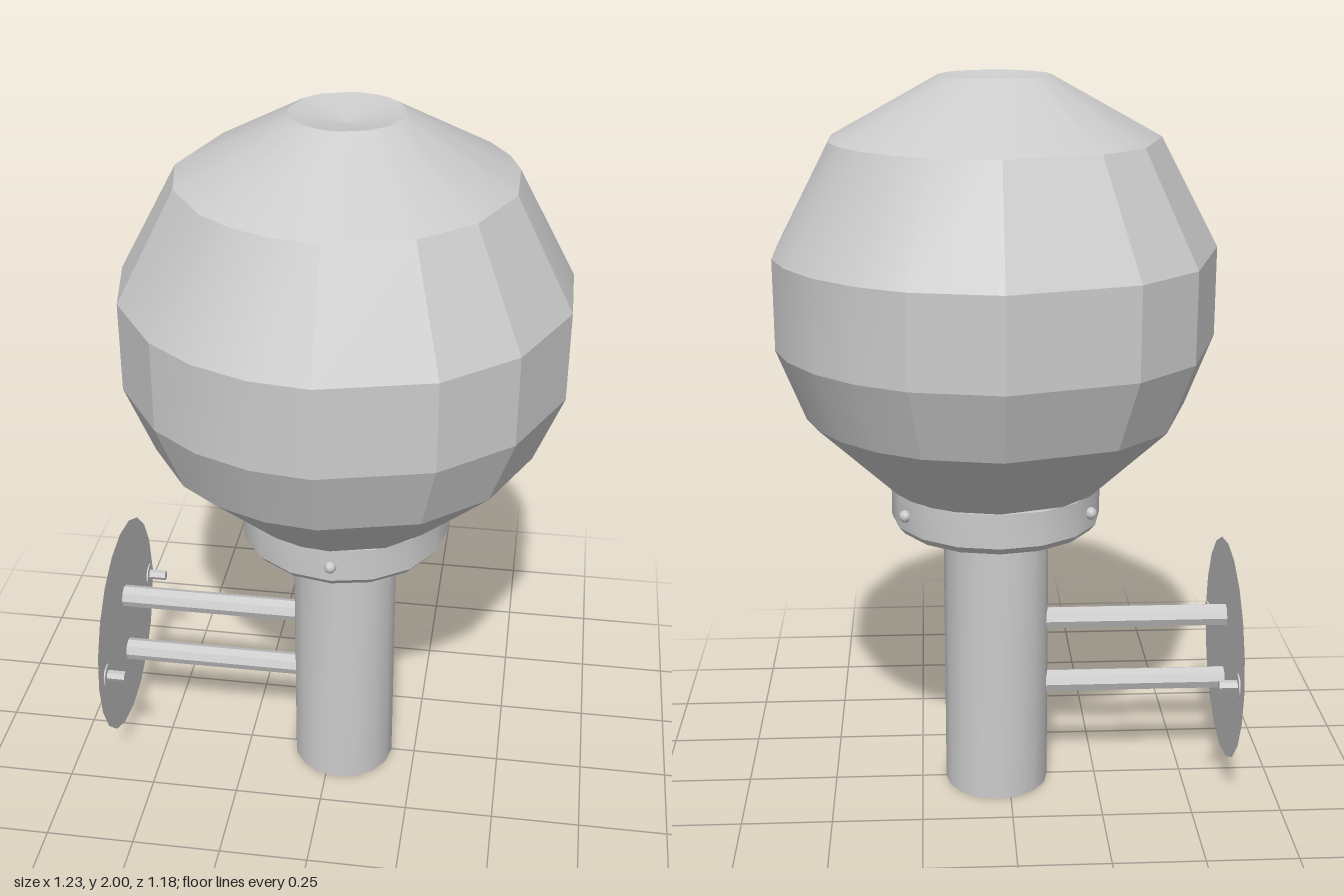
import * as THREE from 'three';
import { toCreasedNormals } from 'three/addons/utils/BufferGeometryUtils.js';

const CX = 0.035; // axis of the lamp
const rad = THREE.MathUtils.degToRad;

export function createModel() {
  const lamp = new THREE.Group();
  lamp.name = 'wallLamp';
  const grey = new THREE.MeshStandardMaterial({ color: 0xcccccc, side: THREE.DoubleSide });

  function add(name, geometry, x, y, z, parent = lamp) {
    const mesh = new THREE.Mesh(geometry, grey);
    mesh.name = name;
    mesh.position.set(x, y, z);
    parent.add(mesh);
    return mesh;
  }
  // Cylinder whose axis runs along x
  const rodX = (r, length, sides) =>
    toCreasedNormals(new THREE.CylinderGeometry(r, r, length, sides).rotateZ(Math.PI / 2), 0.6);

  // Globe: faceted rings with unevenly spaced sides, [radius, height] from neck to crown
  const rings = [[0.295, 0.91], [0.515, 1.12], [0.59, 1.31], [0.59, 1.55], [0.435, 1.84], [0.145, 2], [0, 1.97]];
  const angles = [-90, -67, -53, -39, -25, -12, 11, 38, 61, 90, 105, 120, 135, 158, 180, 214, 236];
  const n = angles.length;
  const positions = [];
  const index = [];
  rings.forEach(([r, y], j) => {
    angles.forEach((a, i) => {
      positions.push(r * Math.cos(rad(a)), y, r * Math.sin(rad(a)));
      if (j === 0) return;
      const k = (i + 1) % n;
      const [a0, b0, a1, b1] = [(j - 1) * n + i, (j - 1) * n + k, j * n + i, j * n + k];
      index.push(a0, a1, b0);
      if (r > 0) index.push(b0, a1, b1);
    });
  });
  const globe = new THREE.BufferGeometry();
  globe.setAttribute('position', new THREE.Float32BufferAttribute(positions, 3));
  globe.setIndex(index);
  add('globe', toCreasedNormals(globe, 0.3), CX, 0, 0);

  // Shallow cup holding the globe
  const cup = [[0, 0.79], [0.27, 0.79], [0.287, 0.81], [0.287, 0.905], [0.268, 0.905], [0.268, 0.83], [0, 0.83]]
    .map(([r, y]) => new THREE.Vector2(r, y));
  add('collar', toCreasedNormals(new THREE.LatheGeometry(cup, 16), 0.5), CX, 0, 0);

  // Three clamping screws around the cup
  for (const a of [90, 210, 330]) {
    const screw = new THREE.SphereGeometry(0.017, 8, 6);
    add('collarScrew', screw, CX + 0.288 * Math.cos(rad(a)), 0.855, 0.288 * Math.sin(rad(a)));
  }

  // Upright stem
  add('stem', toCreasedNormals(new THREE.CylinderGeometry(0.146, 0.146, 0.8, 16), 0.5), CX, 0.4, 0);

  // Two arms from the stem to the wall
  for (const y of [0.295, 0.49]) add('arm', rodX(0.032, 0.56, 8), -0.34, y, 0);

  // Thin round wall plate
  add('wallPlate', new THREE.CircleGeometry(0.315, 20).rotateY(Math.PI / 2), -0.619, 0.39, 0);

  // Fixing bolts with washers on the plate
  for (const z of [-0.255, 0.25]) {
    const bolt = new THREE.Group();
    bolt.name = 'plateBolt';
    bolt.position.set(0, 0.39, z);
    lamp.add(bolt);
    add('washer', rodX(0.033, 0.004, 14), -0.612, 0, 0, bolt);
    add('boltHead', rodX(0.015, 0.052, 6), -0.586, 0, 0, bolt);
  }
  return lamp;
}
